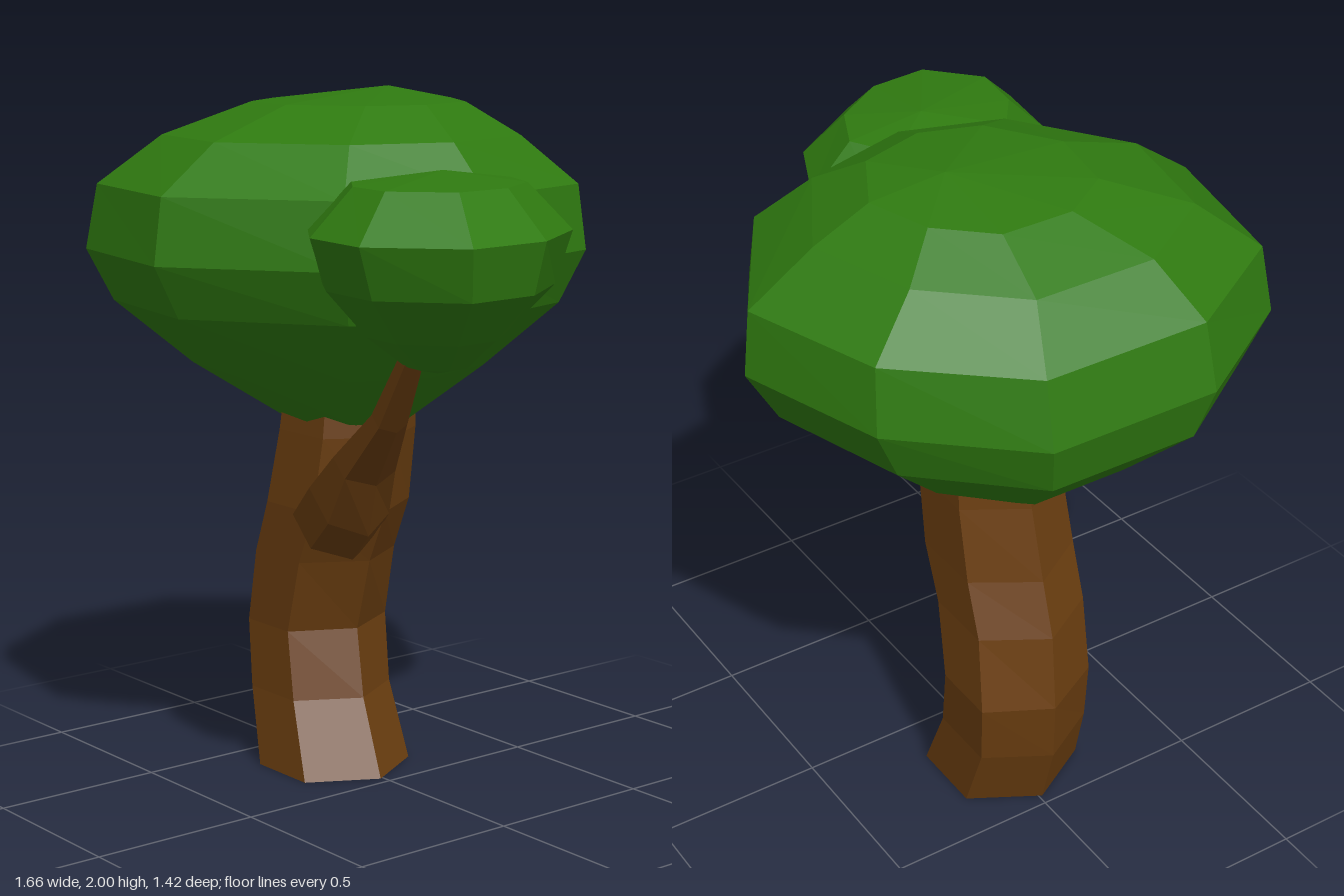
import * as THREE from 'three';

const bark = new THREE.MeshStandardMaterial({ color: 0x6b3e10, flatShading: true });
const leaf = new THREE.MeshStandardMaterial({ color: 0x2f7a10, flatShading: true });

// Skin a stack of rings (bottom to top) and close both ends to a point.
function loft(name, rings, bottom, top, material) {
  const n = rings[0].length, pos = [];
  const tri = (...pts) => pts.forEach((p) => pos.push(...p));
  for (let j = 0; j < n; j++) {
    const k = (j + 1) % n;
    for (let i = 0; i < rings.length - 1; i++) {
      const a = rings[i], b = rings[i + 1];
      tri(a[j], b[j], b[k]);
      tri(a[j], b[k], a[k]);
    }
    const last = rings[rings.length - 1];
    tri(bottom, rings[0][j], rings[0][k]);
    tri(top, last[k], last[j]);
  }
  const geo = new THREE.BufferGeometry();
  geo.setAttribute('position', new THREE.Float32BufferAttribute(pos, 3));
  geo.computeVertexNormals();
  const mesh = new THREE.Mesh(geo, material);
  mesh.name = name;
  return mesh;
}

// Foliage: one irregular outline, scaled at each level.
// levels: [y, centre x, centre z, scale x, scale z]
function foliage(name, outline, [cx, cz], levels, bottom, top) {
  const rings = levels.map(([y, x, z, sx, sz]) =>
    outline.map(([px, pz]) => [x + (px - cx) * sx, y, z + (pz - cz) * sz]));
  return loft(name, rings, bottom, top, leaf);
}

// Wood: six-sided rings. sections: [x, y, z, radius x, radius z], tilted by angle
function wood(name, sections, tilt) {
  const rings = sections.map(([x, y, z, rx, rz]) =>
    Array.from({ length: 6 }, (_, i) => {
      const a = (i * Math.PI) / 3, u = Math.cos(a) * rx;
      return [x + u * Math.cos(tilt), y - u * Math.sin(tilt), z + Math.sin(a) * rz * 1.155];
    }));
  const end = sections[sections.length - 1];
  return loft(name, rings, sections[0].slice(0, 3), end.slice(0, 3), bark);
}

export function createModel() {
  const tree = new THREE.Group();
  tree.name = 'tree';

  // Bent trunk, ending inside the main foliage
  tree.add(wood('trunk', [
    [-0.25, 0, 0.01, 0.22, 0.195],
    [-0.335, 0.22, -0.005, 0.205, 0.18],
    [-0.368, 0.42, -0.018, 0.193, 0.183],
    [-0.31, 0.64, -0.005, 0.21, 0.177],
    [-0.24, 0.8, 0, 0.22, 0.177],
    [-0.2, 1.02, -0.005, 0.205, 0.17],
    [-0.19, 1.2, -0.01, 0.19, 0.16],
  ], 0));

  // Side branch, tapering up to the small foliage
  tree.add(wood('branch', [
    [-0.18, 0.74, 0.06, 0.12, 0.12],
    [-0.06, 0.84, 0.1, 0.125, 0.11],
    [0.06, 0.97, 0.14, 0.075, 0.09],
    [0.245, 1.13, 0.2, 0.045, 0.05],
    [0.41, 1.34, 0.25, 0.03, 0.03],
  ], 0.8));

  // Main foliage
  tree.add(foliage('mainFoliage', [
    [-0.12, -0.71], [0.31, -0.46], [0.44, 0], [0.31, 0.4], [-0.12, 0.71],
    [-0.6, 0.62], [-0.83, 0.26], [-0.83, -0.24], [-0.54, -0.57],
  ], [-0.19, 0], [
    [1.06, -0.2, 0, 0.32, 0.23],
    [1.215, -0.21, 0, 0.62, 0.57],
    [1.4, -0.2, 0, 0.92, 0.88],
    [1.55, -0.19, 0, 1, 1],
    [1.735, -0.18, 0, 0.94, 0.97],
    [1.87, -0.18, 0, 0.72, 0.71],
    [1.96, -0.18, -0.05, 0.44, 0.42],
  ], [-0.2, 1.04, 0], [-0.18, 2, -0.14]));

  // Small foliage on the branch
  tree.add(foliage('smallFoliage', [
    [0.43, -0.19], [0.65, -0.09], [0.81, 0.15], [0.83, 0.41], [0.62, 0.6],
    [0.38, 0.57], [0.2, 0.44], [0.16, 0.15], [0.24, -0.08],
  ], [0.5, 0.2], [
    [1.3, 0.43, 0.17, 0.28, 0.26],
    [1.39, 0.46, 0.2, 0.6, 0.52],
    [1.52, 0.49, 0.2, 0.92, 0.86],
    [1.66, 0.5, 0.2, 1, 1],
    [1.785, 0.48, 0.2, 0.65, 0.67],
  ], [0.41, 1.275, 0.17], [0.43, 1.815, 0.17]));

  return tree;
}
